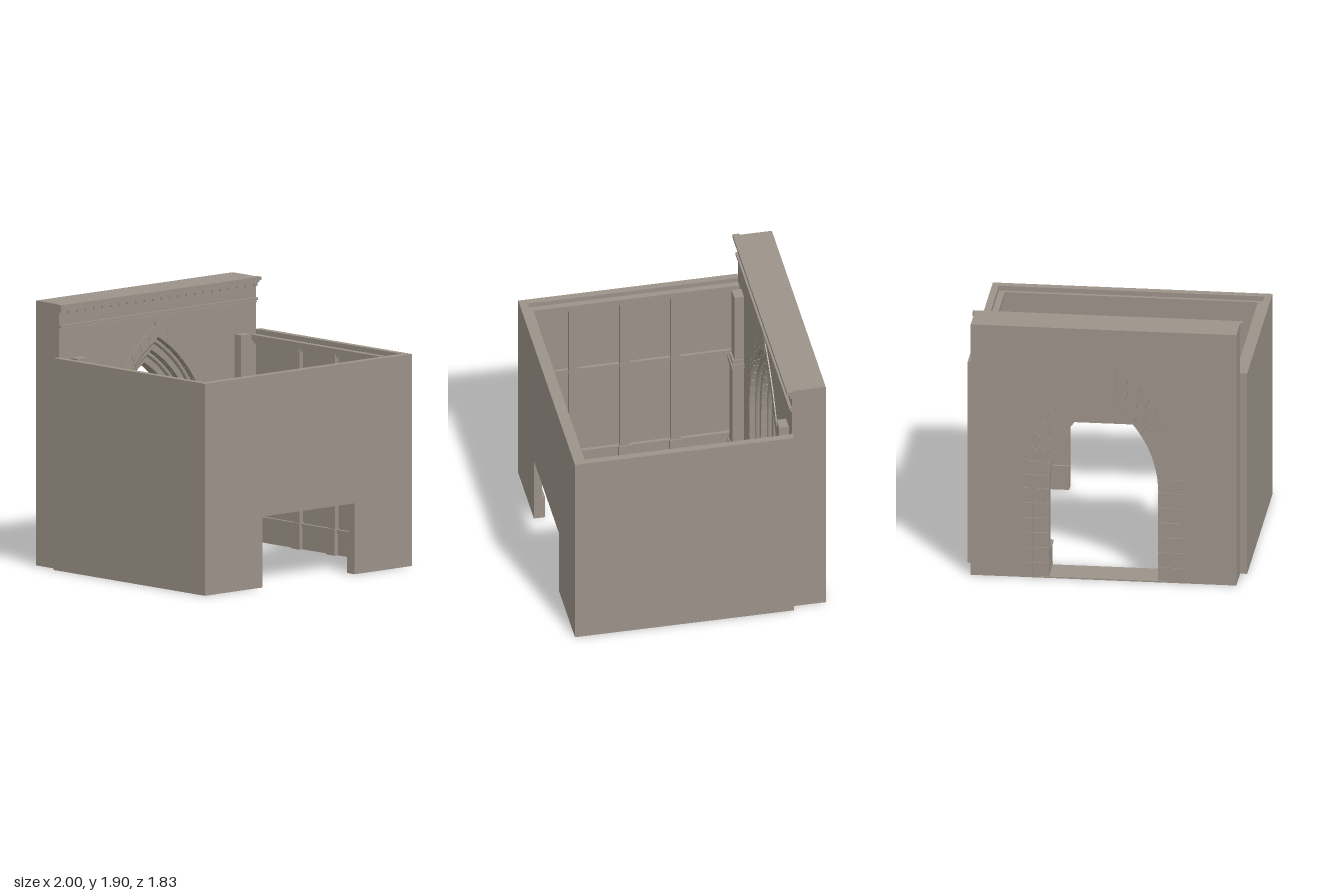
import * as THREE from 'three';

const STONE = new THREE.MeshStandardMaterial({ color: 0x9c9389 });
const SPRING = 0.68; // height where the pointed arch starts

export function createModel() {
  const model = new THREE.Group();
  model.name = 'walledCourtWithArch';

  const add = (parent, name, geometry) => {
    const mesh = new THREE.Mesh(geometry, STONE);
    mesh.name = name;
    parent.add(mesh);
    return mesh;
  };
  // Box given by its min and max on each axis
  const box = (parent, name, x0, x1, y0, y1, z0, z1) => {
    const mesh = add(parent, name, new THREE.BoxGeometry(Math.abs(x1 - x0), y1 - y0, z1 - z0));
    mesh.position.set((x0 + x1) / 2, (y0 + y1) / 2, (z0 + z1) / 2);
    return mesh;
  };
  const group = (name) => {
    const g = new THREE.Group();
    g.name = name;
    model.add(g);
    return g;
  };
  const extrude = (parent, name, shape, z0, z1) => {
    const mesh = add(parent, name, new THREE.ExtrudeGeometry(shape, { depth: z1 - z0, bevelEnabled: false }));
    mesh.position.z = z0;
    return mesh;
  };
  // Point on one half of a pointed arch: t = 0 at the springing, 1 at the apex
  const arc = (halfWidth, apex, t) => {
    const h = apex - SPRING;
    const c = (h * h - halfWidth * halfWidth) / (2 * halfWidth);
    const r = halfWidth + c;
    const a = t * Math.acos(c / r);
    return new THREE.Vector2(r * Math.cos(a) - c, SPRING + r * Math.sin(a));
  };

  // Back wall with its pointed opening
  const wall = new THREE.Shape();
  wall.moveTo(-0.95, 0);
  wall.lineTo(-0.57, 0);
  for (let i = 0; i <= 20; i++) {
    const p = arc(0.57, 1.67, i / 20);
    wall.lineTo(-p.x, p.y);
  }
  for (let i = 19; i >= 0; i--) {
    const p = arc(0.57, 1.67, i / 20);
    wall.lineTo(p.x, p.y);
  }
  wall.lineTo(0.57, 0);
  wall.lineTo(0.95, 0);
  wall.lineTo(0.95, 1.905);
  wall.lineTo(-0.95, 1.905);
  extrude(model, 'backWall', wall, -0.915, -0.67);
  box(model, 'threshold', -0.57, 0.57, 0, 0.01, -0.915, -0.67);

  // Three stepped arch orders made of jamb courses and voussoirs
  const arch = group('archOrders');
  const orders = [
    { w: [0.57, 0.51], apex: [1.67, 1.57], z: [-0.915, -0.662], n: 11 },
    { w: [0.51, 0.45], apex: [1.57, 1.47], z: [-0.91, -0.735], n: 10 },
    { w: [0.45, 0.39], apex: [1.47, 1.37], z: [-0.905, -0.81], n: 9 },
  ];
  for (const { w, apex, z, n } of orders) {
    for (const side of [-1, 1]) {
      for (let i = 0; i < 6; i++) {
        const y = (i * SPRING) / 6;
        box(arch, 'jambStone', side * w[1], side * w[0], y, y + SPRING / 6 - 0.003, z[0], z[1]);
      }
      for (let i = 0; i < n; i++) {
        const t0 = i / n;
        const t1 = (i + 1) / n - (i < n - 1 ? 0.003 : 0);
        const pts = [];
        for (let k = 0; k <= 3; k++) pts.push(arc(w[0], apex[0], t0 + ((t1 - t0) * k) / 3));
        for (let k = 3; k >= 0; k--) pts.push(arc(w[1], apex[1], t0 + ((t1 - t0) * k) / 3));
        pts.forEach((p) => { p.x *= side; });
        extrude(arch, 'voussoir', new THREE.Shape(pts), z[0], z[1]);
      }
    }
  }
  box(arch, 'keystone', -0.03, 0.03, 1.57, 1.69, -0.7, -0.66);

  // Slim shafts in the steps of the arch, rising from pedestals
  for (const side of [-1, 1]) {
    for (const [w, apex, z] of [[0.492, 1.54, -0.715], [0.432, 1.44, -0.79]]) {
      const pts = [new THREE.Vector3(side * w, 0.18, z), new THREE.Vector3(side * w, 0.45, z)];
      for (let i = 0; i <= 12; i++) {
        const p = arc(w, apex, i / 12);
        pts.push(new THREE.Vector3(side * p.x, p.y, z));
      }
      add(arch, 'archShaft', new THREE.TubeGeometry(new THREE.CatmullRomCurve3(pts), 48, 0.018, 8));
      const ring = add(arch, 'shaftBase', new THREE.CylinderGeometry(0.022, 0.027, 0.025, 12));
      ring.position.set(side * w, 0.205, z);
    }
    box(arch, 'jambPedestal', side * 0.395, side * 0.52, 0, 0.175, -0.82, -0.665);
    box(arch, 'pedestalFoot', side * 0.39, side * 0.525, 0, 0.025, -0.82, -0.655);
    box(arch, 'pedestalCap', side * 0.388, side * 0.525, 0.175, 0.195, -0.82, -0.655);
  }

  // Crown, dentils and string courses on the back wall
  const cornice = group('backCornice');
  box(cornice, 'crown', -0.965, 0.965, 1.88, 1.905, -0.68, -0.632);
  box(cornice, 'crownBed', -0.957, 0.957, 1.868, 1.88, -0.68, -0.642);
  box(cornice, 'dentilBand', -0.95, 0.95, 1.853, 1.868, -0.68, -0.652);
  for (let i = 0; i < 24; i++) {
    const x = -0.935 + (i * 1.87) / 23;
    box(cornice, 'dentil', x - 0.014, x + 0.014, 1.836, 1.853, -0.68, -0.655);
  }
  box(cornice, 'stringCourse', -0.95, 0.95, 1.737, 1.755, -0.68, -0.65);
  box(cornice, 'stringFillet', -0.95, 0.95, 1.72, 1.73, -0.68, -0.662);

  // Back wall skirting and pilasters on pedestals
  const backTrim = group('backPilasters');
  for (const s of [-1, 1]) {
    box(backTrim, 'backSkirting', s * 0.57, s * 0.95, 0, 0.18, -0.68, -0.6);
    box(backTrim, 'pilasterPedestal', s * 0.735, s * 0.845, 0, 0.89, -0.68, -0.585);
    box(backTrim, 'pilasterFoot', s * 0.727, s * 0.853, 0, 0.19, -0.68, -0.575);
    box(backTrim, 'pilasterPedestalCap', s * 0.727, s * 0.853, 0.89, 0.925, -0.68, -0.575);
    box(backTrim, 'pilasterBase', s * 0.735, s * 0.845, 0.925, 0.96, -0.68, -0.585);
    box(backTrim, 'pilasterShaft', s * 0.742, s * 0.838, 0.96, 1.51, -0.68, -0.6);
  }

  // Front wall with its square gateway
  const front = new THREE.Shape();
  [[-1, 0], [-0.445, 0], [-0.445, 0.51], [0.445, 0.51], [0.445, 0], [1, 0], [1, 1.525], [-1, 1.525]]
    .forEach(([x, y], i) => (i ? front.lineTo(x, y) : front.moveTo(x, y)));
  extrude(model, 'frontWall', front, 0.855, 0.915);
  const frontTrim = group('frontWallTrim');
  box(frontTrim, 'frontCornice', -0.95, 0.95, 1.45, 1.49, 0.825, 0.86);
  box(frontTrim, 'frontCorniceBed', -0.95, 0.95, 1.425, 1.45, 0.84, 0.86);
  for (const s of [-1, 1]) {
    box(frontTrim, 'frontSkirting', s * 0.445, s * 0.95, 0, 0.18, 0.835, 0.86);
  }

  // Side walls with inner cornice, rails and pilasters
  for (const s of [-1, 1]) {
    const side = group(s > 0 ? 'leftWall' : 'rightWall');
    box(side, 'sideWall', s * 0.95, s, 0, 1.525, -0.675, 0.855);
    box(side, 'sideCornice', s * 0.905, s * 0.955, 1.45, 1.49, -0.67, 0.86);
    box(side, 'sideCorniceBed', s * 0.925, s * 0.955, 1.425, 1.45, -0.67, 0.86);
    box(side, 'sideSkirting', s * 0.935, s * 0.955, 0, 0.16, -0.67, 0.86);
    box(side, 'skirtingCap', s * 0.925, s * 0.955, 0.16, 0.185, -0.67, 0.86);
    box(side, 'dadoRail', s * 0.93, s * 0.955, 0.88, 0.91, -0.67, 0.86);
    for (const z of [0.53, 0.16, -0.21]) {
      box(side, 'sidePilaster', s * 0.915, s * 0.955, 0, 1.45, z - 0.035, z + 0.035);
      box(side, 'sidePilasterFoot', s * 0.905, s * 0.955, 0, 0.19, z - 0.045, z + 0.045);
    }
  }
  return model;
}
